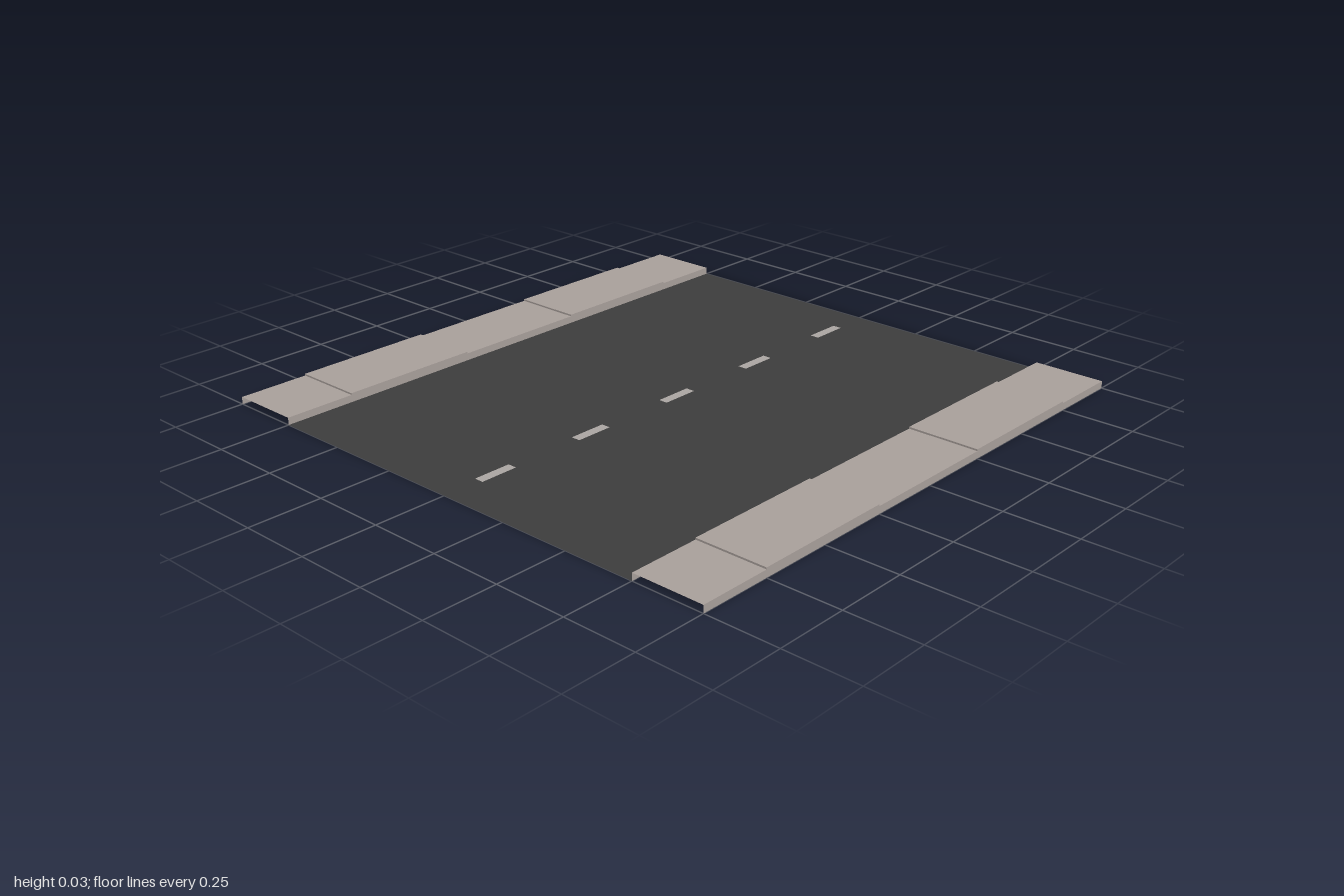
import * as THREE from 'three';

const WALK_LOW = 0.025, WALK_HIGH = 0.031;
const INNER = 0.75, OUTER = 1;

function material(name, color) {
  const m = new THREE.MeshStandardMaterial({ color, side: THREE.DoubleSide });
  m.name = name;
  return m;
}

export function createModel() {
  const asphalt = material('asphalt', 0x3d3d3d);
  const paving = material('paving', 0xaaa19c);
  const paint = material('lane paint', 0xaca7a3);

  const model = new THREE.Group();
  model.name = 'roadTile';

  // Thin sheet, turned to face up (+y), sideways (+x / -x) or forward (+z / -z)
  const sheet = (parent, name, mat, w, h, pos, rx = 0, ry = 0) => {
    const mesh = new THREE.Mesh(new THREE.PlaneGeometry(w, h), mat);
    mesh.name = name;
    mesh.rotation.set(rx, ry, 0);
    mesh.position.set(...pos);
    parent.add(mesh);
  };
  const UP = -Math.PI / 2;

  // Road surface
  sheet(model, 'roadSurface', asphalt, INNER * 2, 2, [0, 0, 0], UP);

  // Dashed centre line
  for (let i = -2; i <= 2; i++) {
    sheet(model, 'laneDash', paint, 0.033, 0.134, [0, 0.002, i * 0.4], UP);
  }

  // Pavements: hollow, open at the ends, slabs alternating in height
  const joints = [-1, -0.75, -0.25, 0.25, 0.75, 1];
  const width = OUTER - INNER, mid = (OUTER + INNER) / 2;
  for (const side of [-1, 1]) {
    const walk = new THREE.Group();
    walk.name = side > 0 ? 'leftPavement' : 'rightPavement';
    model.add(walk);
    for (let i = 0; i < joints.length - 1; i++) {
      const length = joints[i + 1] - joints[i];
      const z = (joints[i + 1] + joints[i]) / 2;
      const high = i % 2 === 1;
      const y = high ? WALK_HIGH : WALK_LOW;
      sheet(walk, 'slabTop', paving, width, length, [side * mid, y, z], UP);
      sheet(walk, 'outerKerb', paving, length, y, [side * OUTER, y / 2, z], 0, side * Math.PI / 2);
      sheet(walk, 'innerKerb', paving, length, y, [side * INNER, y / 2, z], 0, -side * Math.PI / 2);
      // Small steps at both ends of each raised slab
      if (high) {
        const step = WALK_HIGH - WALK_LOW, stepY = (WALK_HIGH + WALK_LOW) / 2;
        sheet(walk, 'slabStep', paving, width, step, [side * mid, stepY, joints[i + 1]]);
        sheet(walk, 'slabStep', paving, width, step, [side * mid, stepY, joints[i]], 0, Math.PI);
      }
    }
  }
  return model;
}
